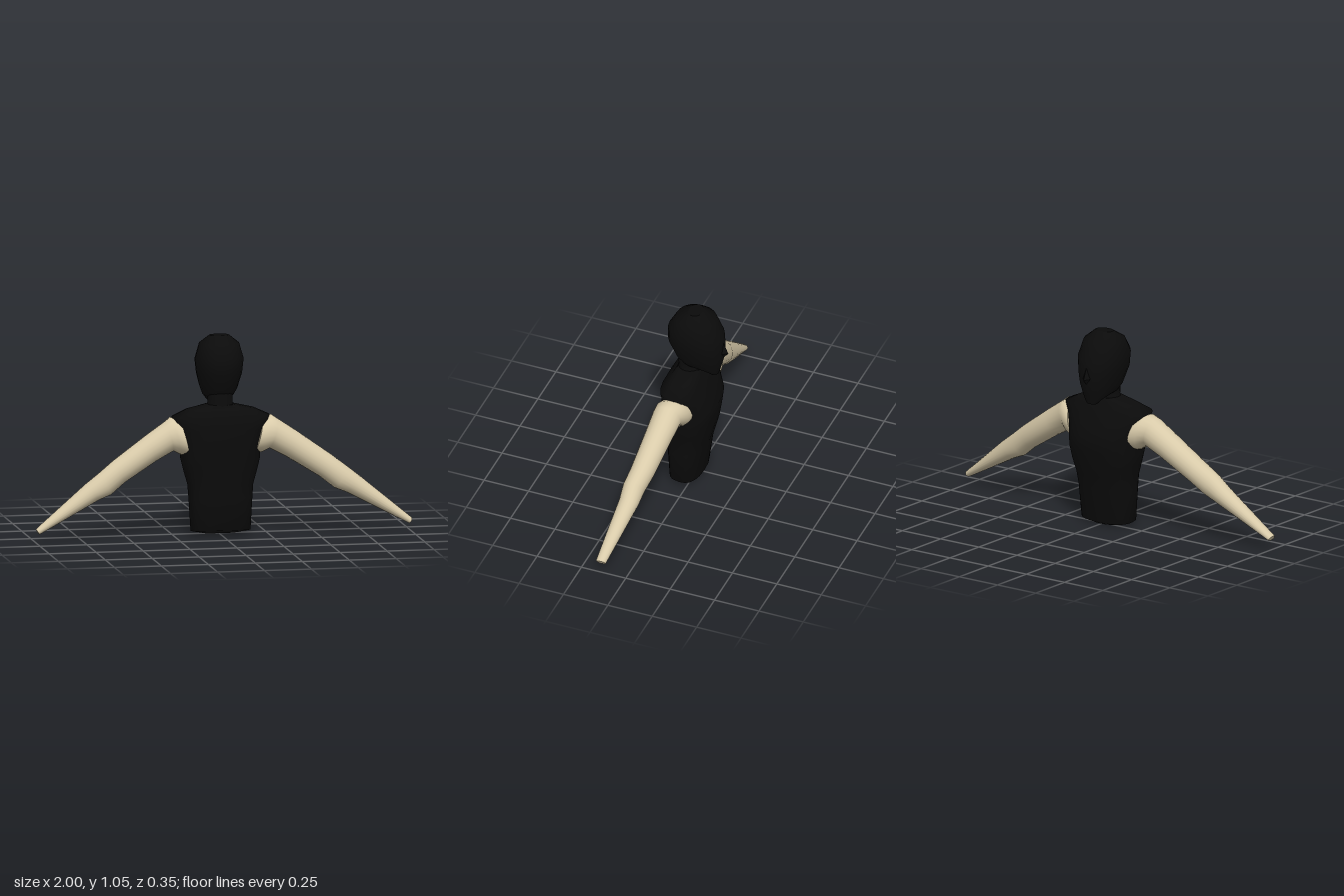
import * as THREE from 'three';

const N = 20;
const black = new THREE.MeshStandardMaterial({ color: 0x0b0b0b });
black.name = 'black fabric';
const skin = new THREE.MeshStandardMaterial({ color: 0xd9cbaa });
skin.name = 'cream skin';

// Skin a list of point rings, with flat caps on both ends
function loft(rings) {
  const pos = [], idx = [];
  rings.forEach(r => r.forEach(p => pos.push(p.x, p.y, p.z)));
  for (let j = 0; j < rings.length - 1; j++) {
    for (let i = 0; i < N; i++) {
      const a = j * N + i, b = j * N + (i + 1) % N;
      idx.push(a, a + N, b, b, a + N, b + N);
    }
  }
  [rings[0], rings[rings.length - 1]].forEach((ring, end) => {
    const base = pos.length / 3;
    const c = new THREE.Vector3();
    ring.forEach(p => { c.addScaledVector(p, 1 / N); pos.push(p.x, p.y, p.z); });
    pos.push(c.x, c.y, c.z);
    for (let i = 0; i < N; i++) {
      const a = base + i, b = base + (i + 1) % N;
      idx.push(base + N, ...(end ? [b, a] : [a, b]));
    }
  });
  const g = new THREE.BufferGeometry();
  g.setAttribute('position', new THREE.Float32BufferAttribute(pos, 3));
  g.setIndex(idx);
  g.computeVertexNormals();
  return g;
}

const power = (v, e) => Math.sign(v) * Math.abs(v) ** e;

// Tilted body section: y and z at the +z edge, y and z at the -z edge, half width
function section([y1, z1, y2, z2, w], e1, e2) {
  return Array.from({ length: N }, (_, i) => {
    const a = i / N * Math.PI * 2, c = Math.cos(a), s = Math.sin(a);
    const e = s > 0 ? e1 : e2;
    const t = (1 + power(s, e)) / 2;
    return new THREE.Vector3(w * power(c, e), y2 + (y1 - y2) * t, z2 + (z1 - z2) * t);
  });
}

// Arm section: top x, y, bottom x, y, z range
function armSection([tx, ty, bx, by, z1, z2], side) {
  return Array.from({ length: N }, (_, i) => {
    const a = i / N * Math.PI * 2, t = (1 + Math.cos(a)) / 2;
    return new THREE.Vector3(
      side * (bx + (tx - bx) * t),
      by + (ty - by) * t,
      (z1 + z2) / 2 - side * Math.sin(a) * (z1 - z2) / 2);
  });
}

export function createModel() {
  const group = new THREE.Group();
  const add = (name, geometry, material) => {
    const m = new THREE.Mesh(geometry, material);
    m.name = name;
    group.add(m);
  };

  // Torso, with a flatter back and a rounded chest
  add('torso', loft([
    [0.008, 0.06, 0, -0.02, 0.08],
    [0.03, 0.12, 0.012, -0.04, 0.158],
    [0.2, 0.13, 0.2, -0.065, 0.168],
    [0.27, 0.136, 0.27, -0.083, 0.173],
    [0.34, 0.142, 0.34, -0.1, 0.193],
    [0.41, 0.149, 0.41, -0.11, 0.21],
    [0.49, 0.155, 0.48, -0.12, 0.208],
    [0.56, 0.15, 0.55, -0.092, 0.228],
    [0.635, 0.145, 0.625, -0.065, 0.26],
    [0.668, 0.11, 0.665, -0.04, 0.18],
    [0.69, 0.1, 0.69, -0.03, 0.07],
  ].map(r => section(r, 0.6, 0.85))), black);

  add('neck', loft([
    [0.65, 0.11, 0.65, -0.035, 0.085],
    [0.7, 0.1, 0.69, -0.025, 0.066],
    [0.74, 0.105, 0.71, -0.03, 0.066],
    [0.78, 0.09, 0.77, -0.03, 0.066],
  ].map(r => section(r, 1, 1))), black);

  // Head, from the chin up to the crown
  add('head', loft([
    [0.675, -0.08, 0.675, -0.12, 0.03],
    [0.708, -0.035, 0.69, -0.124, 0.05],
    [0.735, 0.085, 0.73, -0.136, 0.08],
    [0.76, 0.11, 0.785, -0.15, 0.097],
    [0.86, 0.155, 0.84, -0.15, 0.118],
    [0.94, 0.155, 0.91, -0.145, 0.127],
    [1.01, 0.115, 1.005, -0.1, 0.105],
    [1.05, 0.045, 1.05, -0.03, 0.052],
  ].map(r => section(r, 0.9, 0.95))), black);

  // Nose: a four sided wedge pointing to -z
  const nose = new THREE.ConeGeometry(1, 1, 4, 1).toNonIndexed();
  nose.rotateX(-Math.PI / 2);
  const p = nose.attributes.position;
  for (let i = 0; i < p.count; i++) {
    const tip = p.getZ(i) < 0;
    const up = p.getY(i);
    p.setXYZ(i, p.getX(i) * 0.03, tip ? 0.815 : up > 0.5 ? 0.9 : up < -0.5 ? 0.775 : 0.82,
      tip ? -0.174 : -0.138);
  }
  nose.computeVertexNormals();
  add('nose', nose, black);

  // Arms, from inside the shoulder to the wrist
  const arm = [
    [0.22, 0.61, 0.17, 0.42, 0.135, -0.05],
    [0.268, 0.628, 0.215, 0.43, 0.138, -0.045],
    [0.3, 0.607, 0.255, 0.452, 0.137, -0.018],
    [0.4, 0.54, 0.35, 0.402, 0.14, -0.003],
    [0.58, 0.413, 0.52, 0.297, 0.152, 0.025],
    [0.66, 0.352, 0.595, 0.238, 0.165, 0.048],
    [0.73, 0.297, 0.66, 0.212, 0.158, 0.053],
    [0.998, 0.075, 0.978, 0.047, 0.172, 0.115],
    [1, 0.07, 0.985, 0.045, 0.168, 0.118],
  ];
  for (const [name, side] of [['leftArm', 1], ['rightArm', -1]]) {
    add(name, loft(arm.map(r => armSection(r, side))), skin);
  }
  return group;
}
